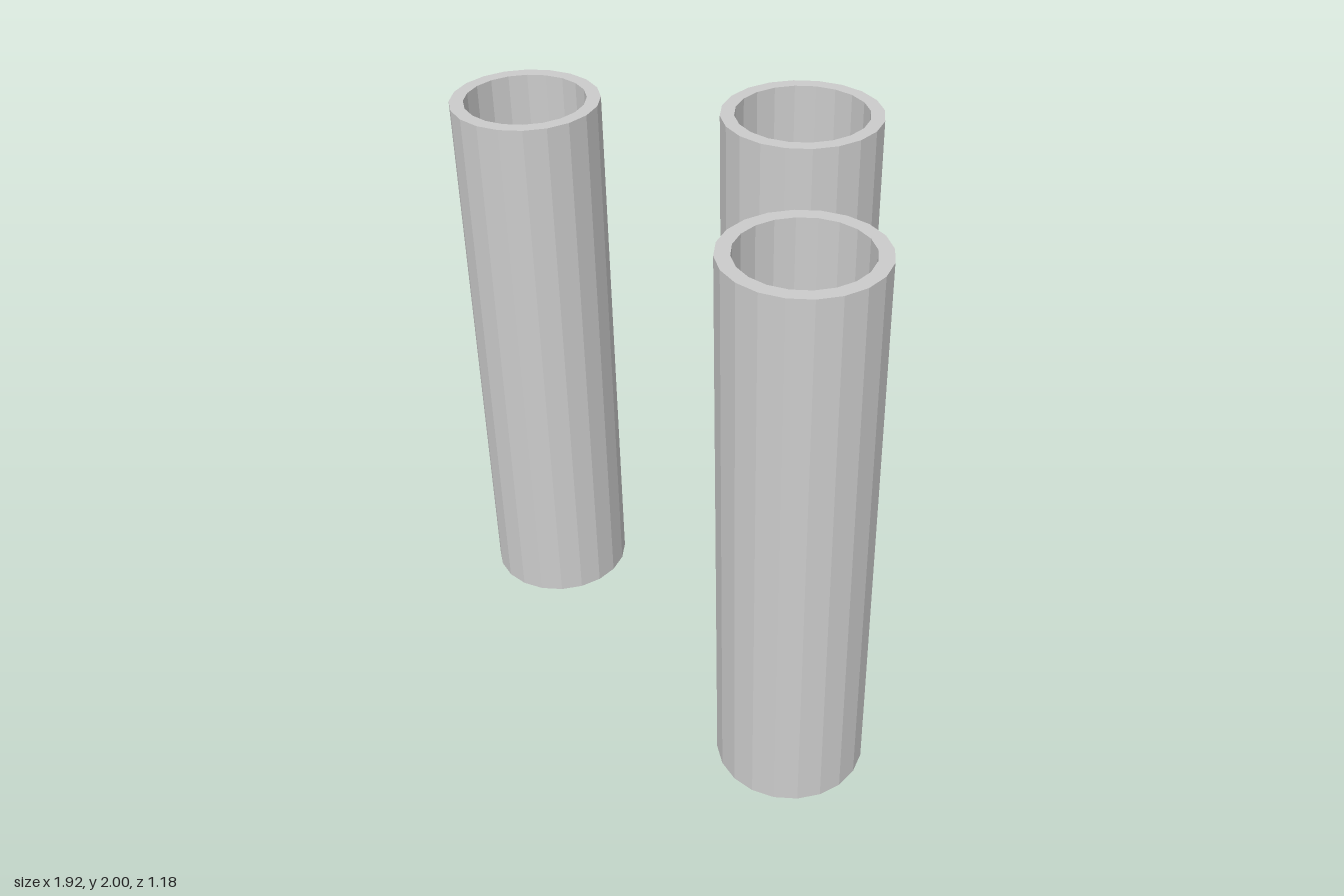
import * as THREE from 'three';

const HEIGHT = 2;
const WALL = 0.048;
const SIDES = 20;

// Open-ended pipe: a rectangular wall section turned around the y axis
function makePipe(name, radius, x, z, material) {
  const inner = radius - WALL;
  const section = [
    [radius, 0], [radius, HEIGHT], [inner, HEIGHT], [inner, 0], [radius, 0],
  ].map(([r, y]) => new THREE.Vector2(r, y));
  const pipe = new THREE.Mesh(new THREE.LatheGeometry(section, SIDES), material);
  pipe.name = name;
  pipe.position.set(x, 0, z);
  return pipe;
}

export function createModel() {
  const group = new THREE.Group();
  group.name = 'pipes';
  const material = new THREE.MeshStandardMaterial({ color: 0xcccccc, flatShading: true });

  // Wider pipe at the back, two matching pipes at the front
  group.add(makePipe('backPipe', 0.278, 0, -0.312, material));
  for (const [name, side] of [['leftPipe', 1], ['rightPipe', -1]]) {
    group.add(makePipe(name, 0.258, side * 0.7, 0.328, material));
  }
  return group;
}
